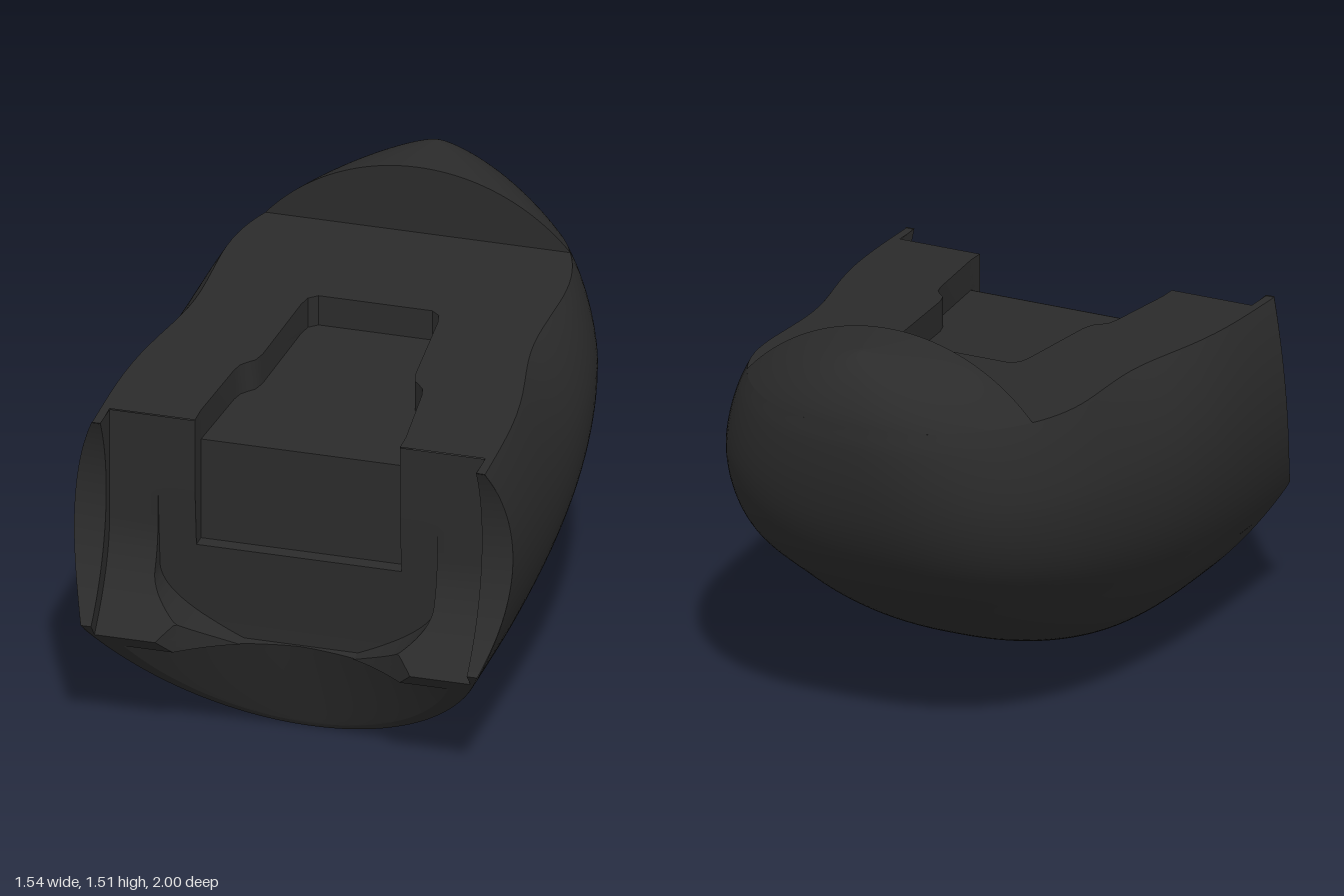
import * as THREE from 'three';
import { toCreasedNormals } from 'three/addons/utils/BufferGeometryUtils.js';

const material = new THREE.MeshStandardMaterial({ color: 0x2b2b2b, side: THREE.DoubleSide });

// Shared rules of the form
const deckY = z => 1.18 + (0.89 - z) * 0.0552;
const halfWidth = y => 0.77 * Math.sqrt(Math.max(0, 1 - ((y - 0.82) / 0.82) ** 2));
const slantZ = y => 0.6 + 0.85 * y;
const frontZ = y => y < 0.47 ? slantZ(y) : 1.424 - Math.sqrt(0.365 - (y - 0.9) ** 2);
// Waist of the deck edge: narrow in the middle, full at the rear
const waist = z => 1 - 0.12 * Math.exp(-((z / 0.35) ** 2)) + 0.06 * THREE.MathUtils.smoothstep(-z, 0.2, 0.75);
const range = (a, b, n) => Array.from({ length: n + 1 }, (_, i) => a + (b - a) * i / n);
const mirror = pts => pts.map(([x, ...r]) => [-x, ...r]);

// Surface through rows of points
function grid(rows, crease) {
  const n = rows[0].length, index = [];
  for (let i = 0; i < rows.length - 1; i++)
    for (let j = 0; j < n - 1; j++) {
      const a = i * n + j, b = a + n;
      index.push(a, a + 1, b, a + 1, b + 1, b);
    }
  const g = new THREE.BufferGeometry();
  g.setAttribute('position', new THREE.Float32BufferAttribute(rows.flat(2), 3));
  g.setIndex(index);
  g.computeVertexNormals();
  return crease ? toCreasedNormals(g, crease) : g;
}

// Flat sheet from an x-z outline, laid parallel to the sloping deck
function sheet(outline, drop) {
  const g = new THREE.ShapeGeometry(new THREE.Shape(outline.map(([x, z]) => new THREE.Vector2(x, -z))));
  g.rotateX(-Math.PI / 2);
  const p = g.attributes.position;
  for (let i = 0; i < p.count; i++) p.setY(i, deckY(p.getZ(i)) - drop);
  g.computeVertexNormals();
  return g;
}

// Superellipse direction: side fraction and distance ahead of the rear end
const POWER = 2.25;
function arc(t, power) {
  const c = Math.cos(t), s = Math.max(0, Math.sin(t));
  return [Math.sign(c) * Math.abs(c) ** (2 / power), 1 - s ** (2 / power)];
}

export function createModel() {
  const model = new THREE.Group();
  const add = (name, geometry) => {
    const m = new THREE.Mesh(geometry, material);
    m.name = name;
    model.add(m);
  };

  // Rounded outer shell: level slices that follow the keel, fullest at mid height
  const keel = new THREE.CatmullRomCurve3([[0.6, 0], [0.4, 0.035], [0.2, 0.09], [0, 0.16], [-0.2, 0.25],
    [-0.4, 0.37], [-0.6, 0.52], [-0.81, 0.7], [-0.915, 0.86], [-0.976, 1.04], [-1, 1.21], [-0.996, 1.284]]
    .map(([z, y]) => new THREE.Vector3(0, y, z)));
  const angles = range(0, Math.PI, 72);
  const hull = keel.getPoints(70).map(p => {
    const v = THREE.MathUtils.clamp(p.y / 1.284, 0, 1), y = v * 1.183;
    const span = 1 - 0.3 * Math.min(1, v * 1.3), straight = range(1, span, 8).slice(0, -1);
    const power = POWER + 0.6 * Math.sin(Math.PI * v);
    const bend = angles.map(t => arc(t, power)).map(([f, u]) => [f, u * span]);
    const path = [...straight.map(u => [1, u]), ...bend, ...straight.map(u => [-1, u]).reverse()];
    return path.map(([f, u]) => {
      const z = p.z + u * (frontZ(y) - p.z);
      return [halfWidth(y) * f * (1 + (waist(z) - 1) * v ** 6), v * deckY(z), z];
    });
  });
  add('outerShell', grid(hull));

  // Raised domed tab at the rear, growing from the shell's top edge
  const rear = -0.996, uTab = (-0.64 - rear) / ((0.889 - rear) * 0.7);
  const t0 = Math.asin((1 - uTab) ** (POWER / 2)), h = 0.245;
  const topWidth = halfWidth(1.183), baseW = topWidth * arc(t0, POWER)[0] * waist(-0.64);
  const R = (baseW ** 2 + h ** 2) / (2 * h);
  const tabWidth = v => Math.sqrt(Math.max(0, R * R - (R - h + h * v) ** 2));
  const levels = range(0, Math.PI / 2, 24).map(Math.sin);
  add('rearTab', grid(levels.map(v => {
    const zb = rear + 0.146 * (1 - Math.max(0, 1 - v ** 1.6) ** (1 / 1.6));
    return range(t0, Math.PI - t0, 48).map(t => {
      const [f, u] = arc(t, POWER), z = zb + (u / uTab) * (-0.64 - zb);
      const rise = (deckY(z) - deckY(-0.64)) * (1 - 0.8 * v);
      return [topWidth * f * waist(z) * tabWidth(v) / baseW, deckY(-0.64) + rise + h * v, z];
    });
  })));
  add('rearTabFace', grid(levels.map(v => [-1, 1].map(s => [s * tabWidth(v), deckY(-0.64) + h * v, -0.64]))));

  // Sloping deck with a stepped pocket open to the front
  const half = [[0.36, 0.71], [0.33, 0.42], [0.32, 0.38], [0.3, 0.355], [0.28, 0.335], [0.268, 0.29],
    [0.24, -0.07], [0.23, -0.115], [0.2, -0.14]];
  const pocket = [...half, ...mirror(half).reverse()];
  const notch = [[0.36, 0.78], ...pocket, [-0.36, 0.78]];
  const edge = hull[hull.length - 1].map(([x, , z]) => [x, z]);
  add('deck', sheet([...edge, [-0.66, 0.889], [-0.66, 0.78], ...[...notch].reverse(), [0.66, 0.78], [0.66, 0.889]], 0));
  add('pocketFloor', sheet(pocket, 0.11));
  add('pocketWall', grid([0, 0.11].map(d => notch.map(([x, z]) => [x, deckY(z) - d, z])), 0.6));

  // Front: cheek plates, curved lips trimmed by a round opening, and recessed face
  const faceZ = y => 0.74 + 0.04 * Math.min(1, Math.max(0, (y - 0.42) / 0.5));
  const openingZ = x => 0.75 + 0.21 * (x / 0.45) ** 2;
  const bowlX = y => 0.49 - 0.29 * (Math.max(0, 0.62 - y) / 0.25) ** 2;
  const lipRow = (y, wall, xb) => {
    const s = Math.min(1, Math.max(0, (y - 0.42) / 0.36));
    const lipZ = Math.min(slantZ(y), 0.78 + 0.18 * (1 - s) ** 2);
    const trim = THREE.MathUtils.clamp(0.45 * Math.sqrt((lipZ - 0.75) / 0.21), xb, wall);
    return [[wall, y, lipZ], [trim, y, lipZ],
      ...range(trim, xb, 10).slice(1).map(x => [x, y, Math.min(lipZ, openingZ(x))])];
  };
  const sideRow = (y, cut) => {
    const xb = bowlX(y), w = halfWidth(y), wall = Math.min(0.66, w), xi = Math.min(0.36, xb);
    return [[w, y, frontZ(y)], [wall, y, frontZ(y)], ...lipRow(y, wall, xb),
      [xb, y, faceZ(y)], [xi, y, faceZ(y)], [xi, y, cut ? 0.71 : faceZ(y)]];
  };
  const low = range(0.37, 0.71, 34), high = range(0.71, 1.183, 24);
  const side = [sideRow(0.37, false).map(([x, y]) => [x, y, 0.72]),
    ...low.map(y => sideRow(y, false)), ...high.map(y => sideRow(y, true))];
  add('leftCheek', grid(side, 0.5));
  add('rightCheek', grid(side.map(mirror), 0.5));
  const centre = [...low.map(y => [y, faceZ(y)]), [0.71, 0.71], [1.081, 0.71]];
  add('frontFace', grid(centre.map(([y, z]) => [[-0.36, y, z], [0.36, y, z]]), 0.5));

  // Slanted chin with a concave scoop, closed by a ledge on top
  const chin = range(0, 1, 28).map(k => {
    const y = 0.37 * k * k, w = halfWidth(y);
    const xs = y < 0.02 ? 0 : Math.sqrt(0.639 ** 2 - (0.659 - y) ** 2);
    const depth = 0.165 * Math.max(0, (y - 0.02) / 0.35);
    return [[w, y, slantZ(y)],
      ...range(-1, 1, 28).map(q => [-q * Math.min(xs, w), y, slantZ(y) - depth * (1 - Math.abs(q) ** 1.5)]),
      [-w, y, slantZ(y)]];
  });
  chin.push(chin[chin.length - 1].map(([x, y]) => [x, y, 0.72]));
  add('chin', grid(chin, 0.25));

  return model;
}
